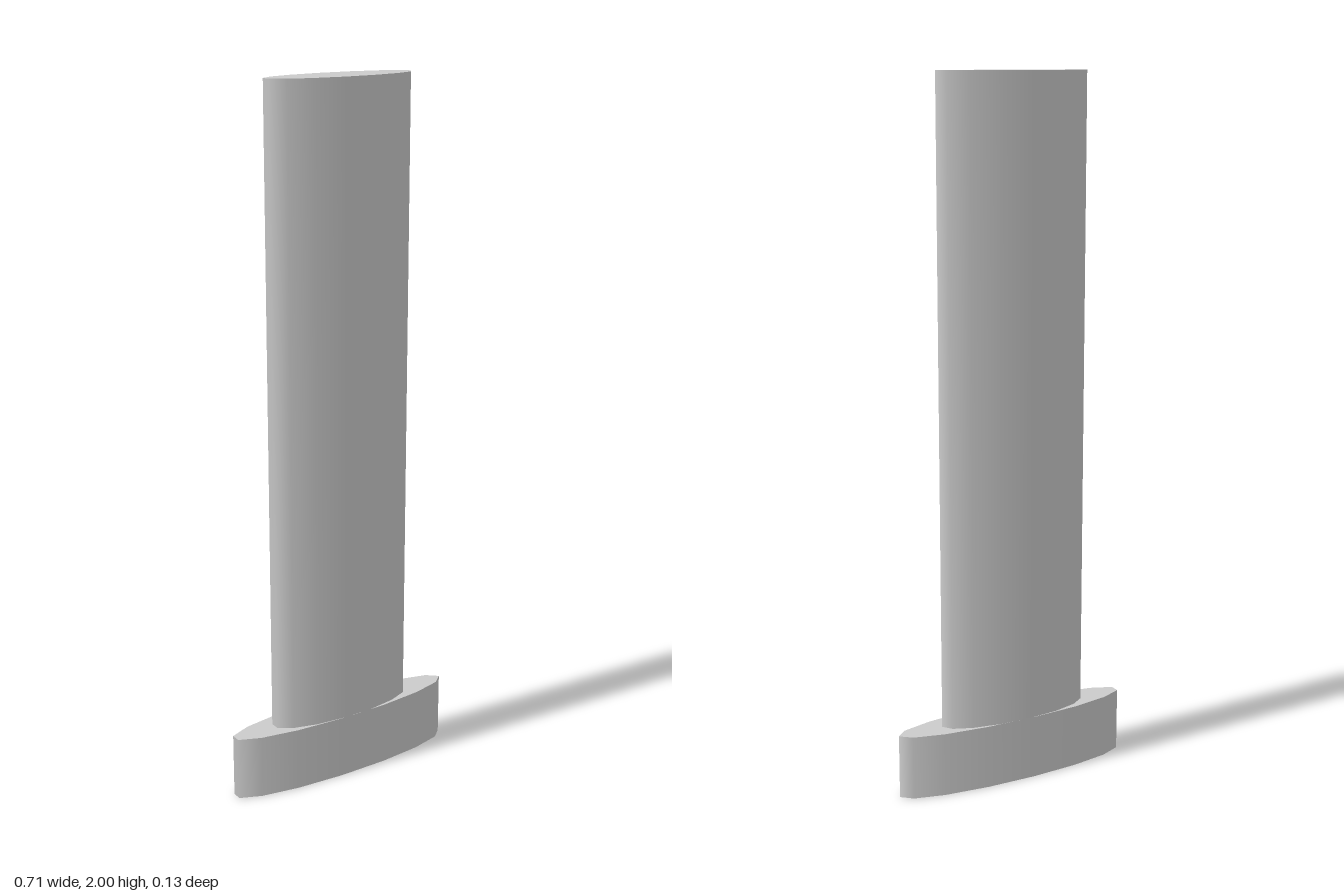
import * as THREE from 'three';

const SIDES = 15;
const DEPTH = 0.0675;

// Upright elliptical prism with one corner pointing to +x
function ellipticPrism(name, halfWidth, bottom, top, material) {
  const geometry = new THREE.CylinderGeometry(1, 1, top - bottom, SIDES, 1, false, Math.PI / 2);
  geometry.scale(halfWidth, 1, DEPTH);
  // Centre the odd-sided outline by its extents
  geometry.computeBoundingBox();
  const box = geometry.boundingBox;
  geometry.translate(-(box.min.x + box.max.x) / 2, (top + bottom) / 2, 0);
  const mesh = new THREE.Mesh(geometry, material);
  mesh.name = name;
  return mesh;
}

export function createModel() {
  const model = new THREE.Group();
  model.name = 'ellipticalPost';
  const grey = new THREE.MeshStandardMaterial({ color: 0xcccccc });

  // Wide, low foot
  model.add(ellipticPrism('base', 0.361, 0, 0.185, grey));

  // Tall narrower column, same thickness as the foot
  const column = ellipticPrism('column', 0.2275, 0.185, 2, grey);
  column.position.x = -0.003;
  model.add(column);

  return model;
}
